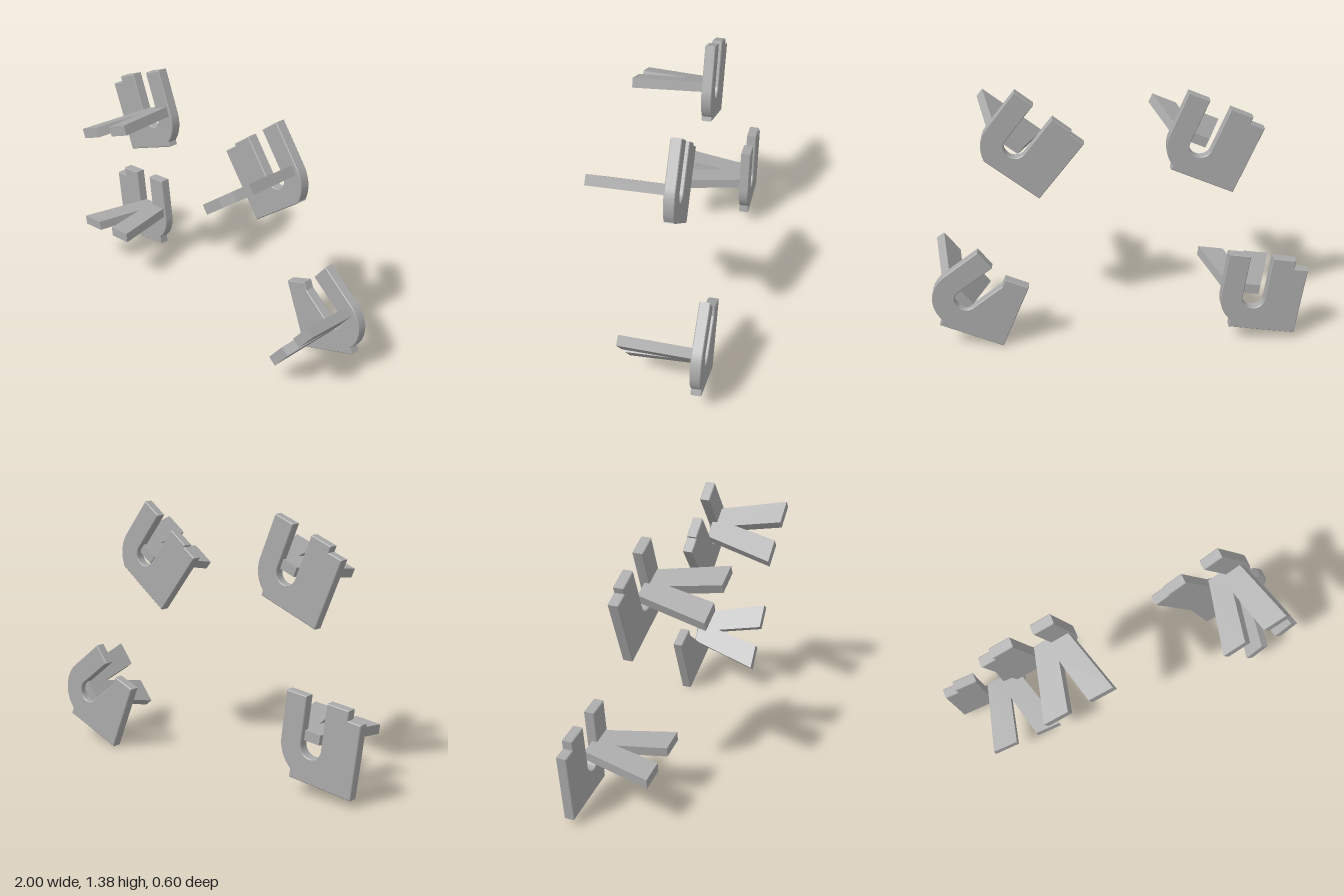
import * as THREE from 'three';

const BASE = 0.361, SIDE = 0.388;       // plate bottom width and left side height
const R_OUT = 0.178, R_IN = 0.0594;     // hook radii around the slot centre
const THICK = 0.056, BEVEL = 0.004;

// Hooked plate outline: square body on the left, U slot, arm on the right
function plateShape({ cx, cy, arm, bend }) {
  const c = Math.cos(bend), s = Math.sin(bend);
  const at = (u, v) => [cx + u * c - v * s, cy + u * s + v * c];
  const dx = BASE - cx;
  const dy = -Math.sqrt(R_OUT * R_OUT - dx * dx);
  const shape = new THREE.Shape();
  shape.moveTo(0, 0);
  shape.lineTo(BASE, 0);
  shape.lineTo(BASE, cy + dy);
  shape.absarc(cx, cy, R_OUT, Math.atan2(dy, dx), bend, false);
  shape.lineTo(...at(R_OUT, arm));
  shape.lineTo(...at(R_IN, arm));
  shape.absarc(cx, cy, R_IN, bend, bend - Math.PI, true);
  if (bend) {
    // slanted slot opens through the corner of the body
    shape.lineTo(0.133, 0.341);
    shape.lineTo(0.133, SIDE);
  } else {
    // stepped shoulder beside the slot
    shape.lineTo(cx - R_IN, cy + arm);
    shape.lineTo(cx - 0.184, cy + arm);
    shape.lineTo(cx - 0.184, SIDE);
  }
  shape.lineTo(0, SIDE);
  shape.closePath();
  return shape;
}

// Forked strut: two splayed legs joined at the plate
function forkGeometry() {
  const shape = new THREE.Shape([
    [-0.093, -0.028], [0.093, -0.028], [0.2, 0.36], [0.06, 0.36],
    [0, 0.105], [-0.06, 0.36], [-0.2, 0.36],
  ].map(([x, z]) => new THREE.Vector2(x, z)));
  const t = 0.053;
  const geo = new THREE.ExtrudeGeometry(shape, { depth: t, bevelEnabled: false });
  geo.translate(0, 0, -t / 2);
  geo.rotateX(Math.PI / 2);
  return geo;
}

export function createModel() {
  const grey = new THREE.MeshStandardMaterial({ color: 0xaaaaaa });
  grey.name = 'plain grey';
  const model = new THREE.Group();
  model.name = 'hookedBrackets';
  const fork = forkGeometry();

  // corner = lower left plate corner, hub = strut centre, front = plate front z
  const brackets = [
    { name: 'lowerRight', corner: [-0.949, 0.043], hub: [-0.66, 0.314], front: -0.246, turn: 7.6, cx: 0.258, cy: 0.19, arm: 0.248, bend: 0 },
    { name: 'upperRight', corner: [-0.607, 0.807], hub: [-0.38, 1.115], front: -0.06, turn: 22.7, cx: 0.266, cy: 0.176, arm: 0.246, bend: 0 },
    { name: 'upperLeft', corner: [0.414, 0.791], hub: [0.575, 1.115], front: -0.06, turn: 38, cx: 0.273, cy: 0.16, arm: 0.24, bend: 0 },
    { name: 'lowerLeft', corner: [0.628, 0.004], hub: [0.855, 0.313], front: -0.246, turn: 22.7, cx: 0.284, cy: 0.197, arm: 0.23, bend: Math.PI / 6 },
  ];

  for (const b of brackets) {
    const turn = THREE.MathUtils.degToRad(b.turn);
    const bracket = new THREE.Group();
    bracket.name = b.name + 'Bracket';

    const plateGeo = new THREE.ExtrudeGeometry(plateShape(b), {
      depth: THICK - 2 * BEVEL, curveSegments: 24,
      bevelThickness: BEVEL, bevelSize: BEVEL, bevelOffset: -BEVEL, bevelSegments: 1,
    });
    const plate = new THREE.Mesh(plateGeo, grey);
    plate.name = 'hookPlate';
    plate.position.set(b.corner[0], b.corner[1], b.front - THICK + BEVEL);
    plate.rotation.z = turn;

    const strut = new THREE.Mesh(fork, grey);
    strut.name = 'forkedStrut';
    strut.position.set(b.hub[0], b.hub[1], b.front);
    strut.rotation.z = turn + b.bend;

    bracket.add(plate, strut);
    model.add(bracket);
  }
  return model;
}
